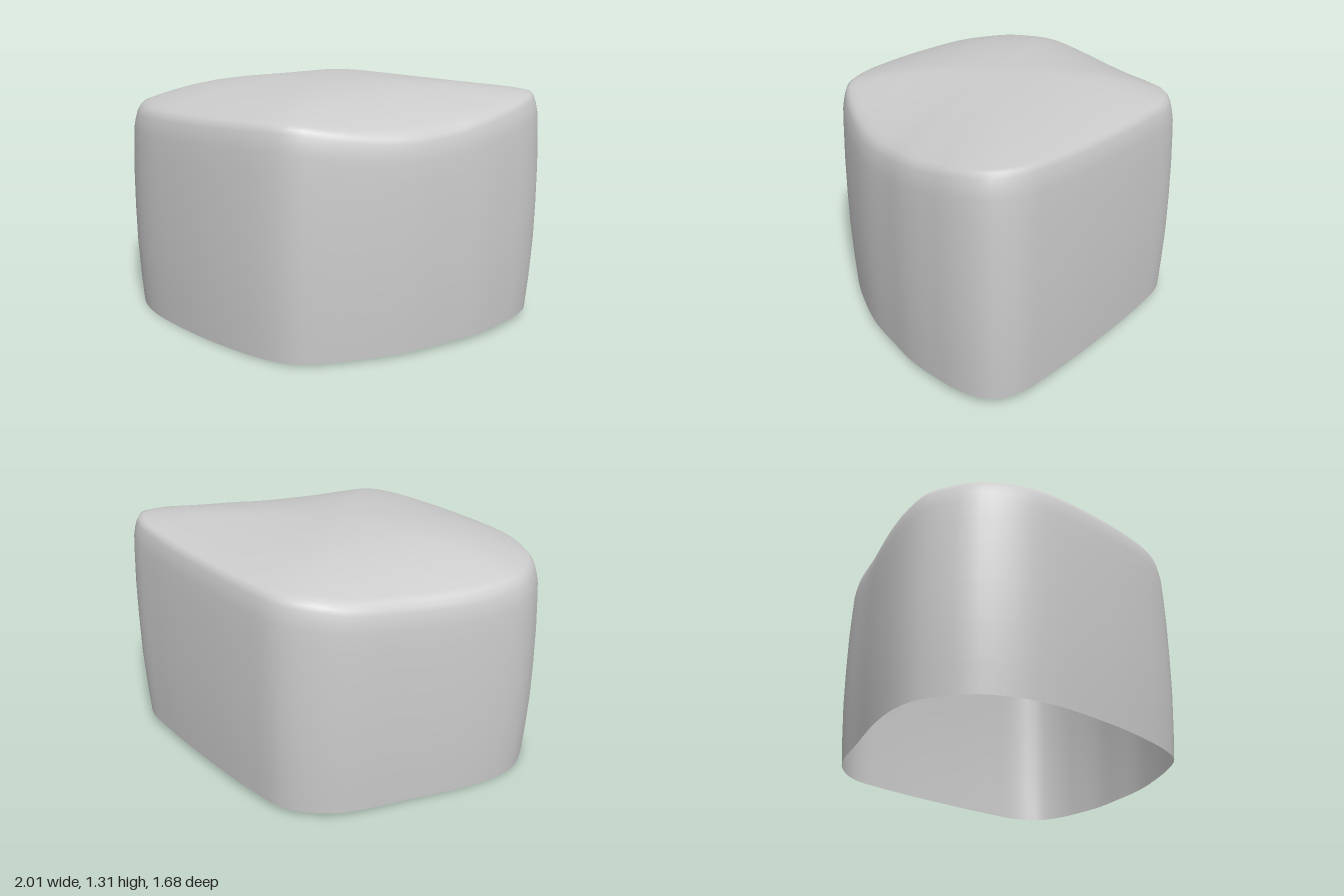
import * as THREE from 'three';

// Footprint of the cap: x, height of the top edge, z
const OUTLINE = [
  [-1, 1.1, 0.26], [-1, 1.115, 0.4], [-0.95, 1.12, 0.53], [-0.86, 1.125, 0.66],
  [-0.69, 1.13, 0.77], [-0.54, 1.14, 0.815], [-0.33, 1.15, 0.835], [0.03, 1.17, 0.83],
  [0.37, 1.19, 0.78], [0.52, 1.19, 0.72], [0.63, 1.165, 0.6], [0.77, 1.13, 0.38],
  [0.86, 1.12, 0.2], [0.93, 1.135, -0.02], [0.98, 1.165, -0.2], [1, 1.2, -0.4],
  [1, 1.23, -0.55], [0.95, 1.25, -0.71], [0.83, 1.245, -0.79], [0.62, 1.23, -0.82],
  [0.28, 1.21, -0.84], [-0.2, 1.19, -0.84], [-0.45, 1.175, -0.81], [-0.6, 1.16, -0.71],
  [-0.7, 1.13, -0.58], [-0.83, 1.1, -0.26], [-0.95, 1.09, 0.05],
];
const SEGMENTS = 108;
const PEAK = 1.31;

// Each ring: outline scale and a rule for its height above a point of the outline
function makeRings() {
  const rings = [];
  const base = (p) => 0.02 + 0.008 * p.x - 0.018 * p.z;
  // gently bulging side wall
  for (const [f, s] of [[0, 0.98], [0.15, 0.99], [0.35, 0.999], [0.55, 1], [0.75, 0.997], [0.9, 0.99]]) {
    rings.push({ s, y: (p) => THREE.MathUtils.lerp(base(p), p.y - 0.11, f) });
  }
  // rounded top edge
  for (const [d, s] of [[-0.11, 0.984], [-0.06, 0.975], [-0.02, 0.964], [0.005, 0.952]]) {
    rings.push({ s, y: (p) => p.y + d });
  }
  // domed top
  for (const s of [0.93, 0.89, 0.82, 0.72, 0.6, 0.46, 0.3, 0.14]) {
    rings.push({ s, y: (p) => p.y + (PEAK - p.y) * (1 - s ** 2.5) });
  }
  return rings;
}

function capGeometry() {
  const curve = new THREE.CatmullRomCurve3(OUTLINE.map((p) => new THREE.Vector3(...p)), true);
  const loop = curve.getSpacedPoints(SEGMENTS).slice(0, SEGMENTS);
  const rings = makeRings();
  const positions = [];
  const index = [];
  for (const { s, y } of rings) {
    for (const p of loop) positions.push(p.x * s, y(p), p.z * s);
  }
  const centre = positions.length / 3;
  positions.push(0, PEAK, 0);
  rings.forEach((_, r) => {
    for (let i = 0; i < SEGMENTS; i++) {
      const a = r * SEGMENTS + i;
      const b = r * SEGMENTS + ((i + 1) % SEGMENTS);
      if (r === rings.length - 1) index.push(a, b, centre);
      else index.push(a, b, b + SEGMENTS, a, b + SEGMENTS, a + SEGMENTS);
    }
  });
  const geometry = new THREE.BufferGeometry();
  geometry.setAttribute('position', new THREE.Float32BufferAttribute(positions, 3));
  geometry.setIndex(index);
  geometry.computeVertexNormals();
  return geometry;
}

export function createModel() {
  const group = new THREE.Group();
  group.name = 'keycapShell';
  // Hollow shell, open at the bottom
  const material = new THREE.MeshStandardMaterial({ color: 0xcccccc, side: THREE.DoubleSide });
  const shell = new THREE.Mesh(capGeometry(), material);
  shell.name = 'domedShell';
  group.add(shell);
  group.name = 'cap';
  return group;
}
